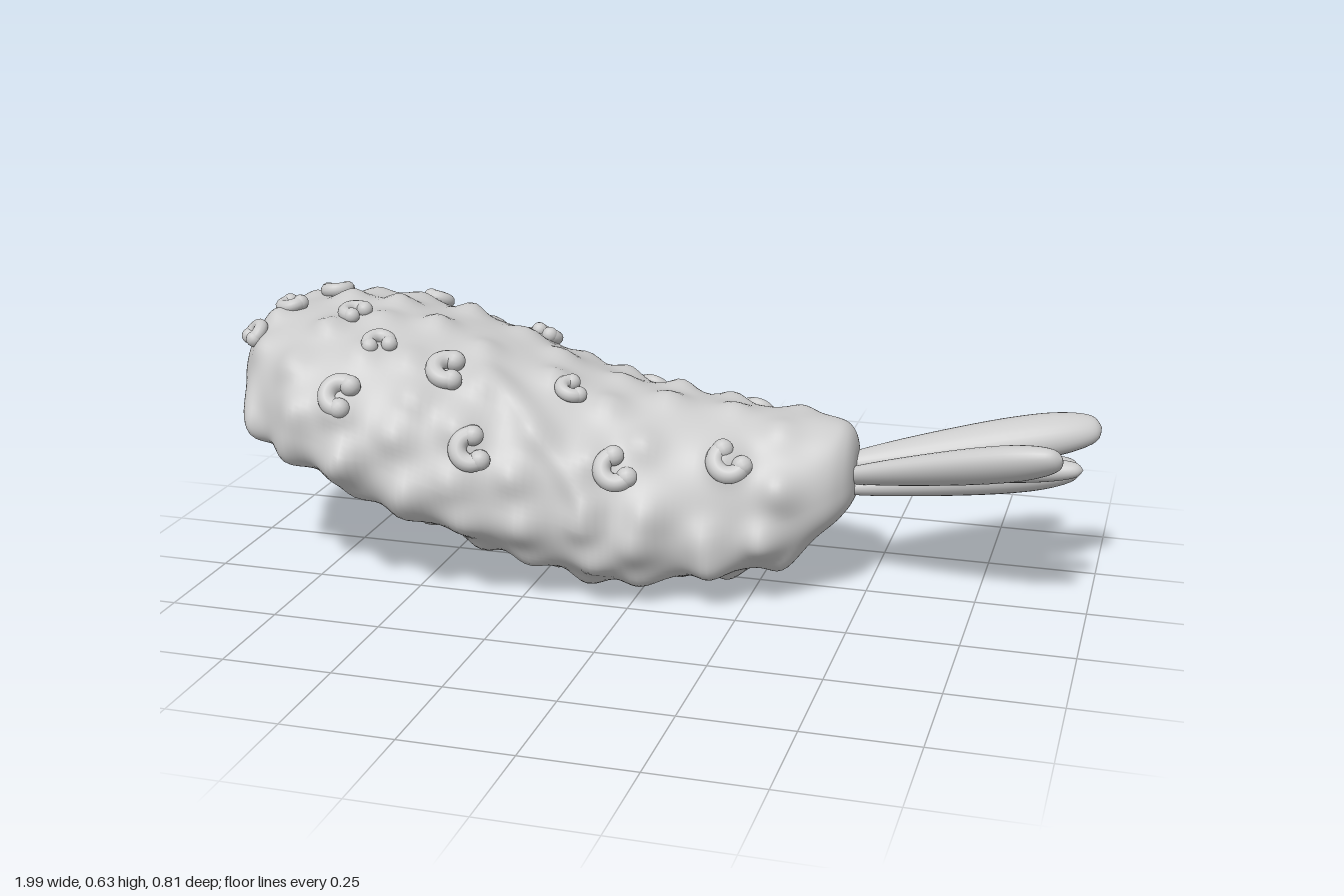
import * as THREE from 'three';

const material = new THREE.MeshStandardMaterial({ color: 0xcccccc, side: THREE.DoubleSide });

// Body stations: x, bottom y, top y, half width
const stations = [
  [-0.995, 0.42, 0.42, 0], [-0.99, 0.38, 0.47, 0.075], [-0.965, 0.345, 0.54, 0.15], [-0.915, 0.315, 0.575, 0.225],
  [-0.83, 0.28, 0.592, 0.3], [-0.7, 0.237, 0.596, 0.355], [-0.55, 0.18, 0.578, 0.362], [-0.4, 0.12, 0.547, 0.345],
  [-0.25, 0.075, 0.497, 0.318], [-0.1, 0.042, 0.453, 0.285], [0.05, 0.035, 0.43, 0.252], [0.2, 0.05, 0.415, 0.21],
  [0.32, 0.09, 0.41, 0.17], [0.41, 0.155, 0.405, 0.13], [0.45, 0.195, 0.39, 0.095], [0.468, 0.23, 0.35, 0.055], [0.47, 0.28, 0.28, 0],
];
const heights = new THREE.CatmullRomCurve3(stations.map(([x, b, t]) => new THREE.Vector3(x, b, t)), false, 'catmullrom');
const widths = new THREE.CatmullRomCurve3(stations.map(([x, , , w]) => new THREE.Vector3(x, w, 0)), false, 'catmullrom');
const UPPER = 2.1, LOWER = 2.9;

function seeded(seed) {
  return () => (seed = (seed * 16807) % 2147483647) / 2147483647;
}

// Cross-section at t: widest below mid height, domed top, broad bottom
function section(t) {
  const { x, y: bottom, z: top } = heights.getPoint(t);
  const height = Math.max(top - bottom, 0);
  return { x, middle: bottom + height * 0.38, up: height * 0.62, down: height * 0.38, width: Math.max(widths.getPoint(t).y, 0) };
}

// Angle 0 faces +z, a quarter turn is up
function skin(t, angle) {
  const s = section(t), c = Math.cos(angle), n = Math.sin(angle);
  const e = n > 0 ? UPPER : LOWER;
  const r = Math.pow(Math.abs(c) ** e + Math.abs(n) ** e, -1 / e);
  return new THREE.Vector3(s.x, s.middle + (n > 0 ? s.up : s.down) * n * r, s.width * c * r);
}

function stationAt(x) {
  let low = 0.03, high = 0.97;
  for (let i = 0; i < 30; i++) {
    const mid = (low + high) / 2;
    if (heights.getPoint(mid).x < x) low = mid; else high = mid;
  }
  return low;
}

function skinNormal(t, angle) {
  const along = skin(t + 0.005, angle).sub(skin(t - 0.005, angle));
  const around = skin(t, angle + 0.02).sub(skin(t, angle - 0.02));
  return along.cross(around).normalize();
}

// Staggered rows of round batter lumps, lower and smaller on top
function makeLumps() {
  const random = seeded(71), lumps = [];
  for (let row = 0; row < 10; row++) {
    const x = -0.9 + row * 0.135;
    const count = Math.max(8, Math.round(section(stationAt(x)).width * 42));
    for (let k = 0; k < count; k++) {
      const angle = ((k + (row % 2) / 2 + (random() - 0.5) * 0.4) / count) * Math.PI * 2;
      const p = skin(stationAt(x + (random() - 0.5) * 0.05), angle);
      const low = 0.5 - 0.5 * Math.sin(angle);
      lumps.push({ p, size: 0.036 + 0.012 * low + random() * 0.01, height: 0.016 + 0.018 * low + random() * 0.012 });
    }
  }
  return lumps;
}

function makeBody() {
  const rows = 150, cols = 128, positions = [], index = [], lumps = makeLumps();
  // Diagonal fold across the front flank
  const fold = new THREE.Line3(new THREE.Vector3(-0.34, 0.52, 0.17), new THREE.Vector3(-0.08, 0.25, 0.28));
  const near = new THREE.Vector3();
  for (let i = 0; i <= rows; i++) {
    const t = i / rows, { middle } = section(t);
    for (let j = 0; j < cols; j++) {
      const p = skin(t, (j / cols) * Math.PI * 2);
      let lift = 0;
      for (const { p: q, size, height } of lumps) {
        const d = p.distanceToSquared(q) / (size * size);
        if (d < 9) lift += height * Math.exp(-d);
      }
      fold.closestPointToPoint(p, true, near);
      lift += 0.02 * Math.exp(-near.distanceToSquared(p) / 0.001);
      const out = new THREE.Vector3(0, p.y - middle, p.z);
      const radius = out.length();
      if (radius > 1e-4) p.addScaledVector(out, (lift * Math.min(1, radius / 0.15)) / radius);
      positions.push(p.x, p.y, p.z);
      if (i < rows) {
        const a = i * cols + j, b = i * cols + ((j + 1) % cols);
        index.push(a, a + cols, b, b, a + cols, b + cols);
      }
    }
  }
  const geometry = new THREE.BufferGeometry();
  geometry.setAttribute('position', new THREE.Float32BufferAttribute(positions, 3));
  geometry.setIndex(index);
  geometry.computeVertexNormals();
  const mesh = new THREE.Mesh(geometry, material);
  mesh.name = 'batteredBody';
  return mesh;
}

// Curled crumb: a short hooked roll with rounded ends, seated on the skin
function makeCrumb(t, angle, turn, size) {
  const crumb = new THREE.Group();
  crumb.name = 'curledCrumb';
  const arc = Math.PI * 1.25;
  crumb.add(new THREE.Mesh(new THREE.TorusGeometry(0.031, 0.021, 12, 24, arc), material));
  for (const a of [0, arc]) {
    const end = new THREE.Mesh(new THREE.SphereGeometry(0.024, 14, 10), material);
    end.position.set(Math.cos(a) * 0.031, Math.sin(a) * 0.031, 0);
    crumb.add(end);
  }
  const normal = skinNormal(t, angle);
  crumb.position.copy(skin(t, angle)).addScaledVector(normal, 0.014);
  crumb.quaternion.setFromUnitVectors(new THREE.Vector3(0, 0, 1), normal);
  crumb.rotateZ(turn);
  crumb.scale.setScalar(size);
  return crumb;
}

// Tail blade: flattened lathe, narrow at the root and rounded at the tip
function makeBlade(root, tip, width, thickness, up) {
  const profile = new THREE.SplineCurve([
    [0, 0], [0.38, 0.01], [0.64, 0.16], [0.88, 0.42], [1, 0.66], [0.93, 0.84], [0.6, 0.965], [0, 1],
  ].map(([r, y]) => new THREE.Vector2(r, y))).getPoints(36);
  for (const p of profile) p.x = Math.max(p.x, 0);
  const start = new THREE.Vector3(...root), along = new THREE.Vector3(...tip).sub(start);
  const length = along.length(), y = along.normalize();
  const x = new THREE.Vector3().crossVectors(y, new THREE.Vector3(...up)).normalize();
  const z = new THREE.Vector3().crossVectors(x, y);
  const geometry = new THREE.LatheGeometry(profile, 28).scale(width, length, thickness);
  const blade = new THREE.Mesh(geometry, material);
  blade.name = 'tailBlade';
  blade.quaternion.setFromRotationMatrix(new THREE.Matrix4().makeBasis(x, y, z));
  blade.position.copy(start);
  return blade;
}

export function createModel() {
  const model = new THREE.Group();
  model.name = 'friedPrawn';
  model.add(makeBody());

  const crumbs = new THREE.Group();
  crumbs.name = 'crumbs';
  const other = (v) => Math.pow(Math.max(1 - Math.abs(v) ** UPPER, 0), 1 / UPPER);
  // Flank crumbs: x, y, side
  [[-0.64, 0.465, 1], [-0.43, 0.505, 1], [-0.34, 0.365, 1], [-0.03, 0.32, 1], [0.21, 0.335, 1],
    [-0.6, 0.47, -1], [-0.36, 0.4, -1], [-0.07, 0.37, -1], [0.2, 0.35, -1],
  ].forEach(([x, y, side], i) => {
    const t = stationAt(x), s = section(t), rise = (y - s.middle) / s.up;
    crumbs.add(makeCrumb(t, Math.atan2(rise, other(rise) * side), 0.9 + i * 0.3, side > 0 ? 1 : 0.8));
  });
  // Top crumbs: x, z
  [[-0.6, 0.2], [-0.7, 0.1], [-0.17, 0.12], [-0.88, 0.05], [-0.83, -0.09], [-0.63, -0.23], [-0.33, -0.17], [-0.93, 0.14],
  ].forEach(([x, z], i) => {
    const t = stationAt(x), reach = z / section(t).width;
    crumbs.add(makeCrumb(t, Math.atan2(other(reach), reach), i * 0.8, 0.78));
  });
  model.add(crumbs);

  // Tail fan
  const tail = new THREE.Group();
  tail.name = 'tailFan';
  tail.add(
    makeBlade([0.44, 0.275, 0.01], [0.935, 0.4, 0.13], 0.056, 0.038, [0, 0.75, -0.6]),
    makeBlade([0.44, 0.3, -0.01], [0.995, 0.38, -0.185], 0.058, 0.046, [0, 0.9, 0.4]),
    makeBlade([0.44, 0.28, -0.02], [0.87, 0.325, -0.325], 0.053, 0.03, [0, 1, 0]),
    makeBlade([0.44, 0.25, 0.01], [0.95, 0.268, -0.21], 0.055, 0.042, [0, 1, 0]),
    makeBlade([0.44, 0.285, -0.01], [0.97, 0.33, -0.02], 0.034, 0.028, [0, 1, 0]),
  );
  model.add(tail);
  return model;
}
